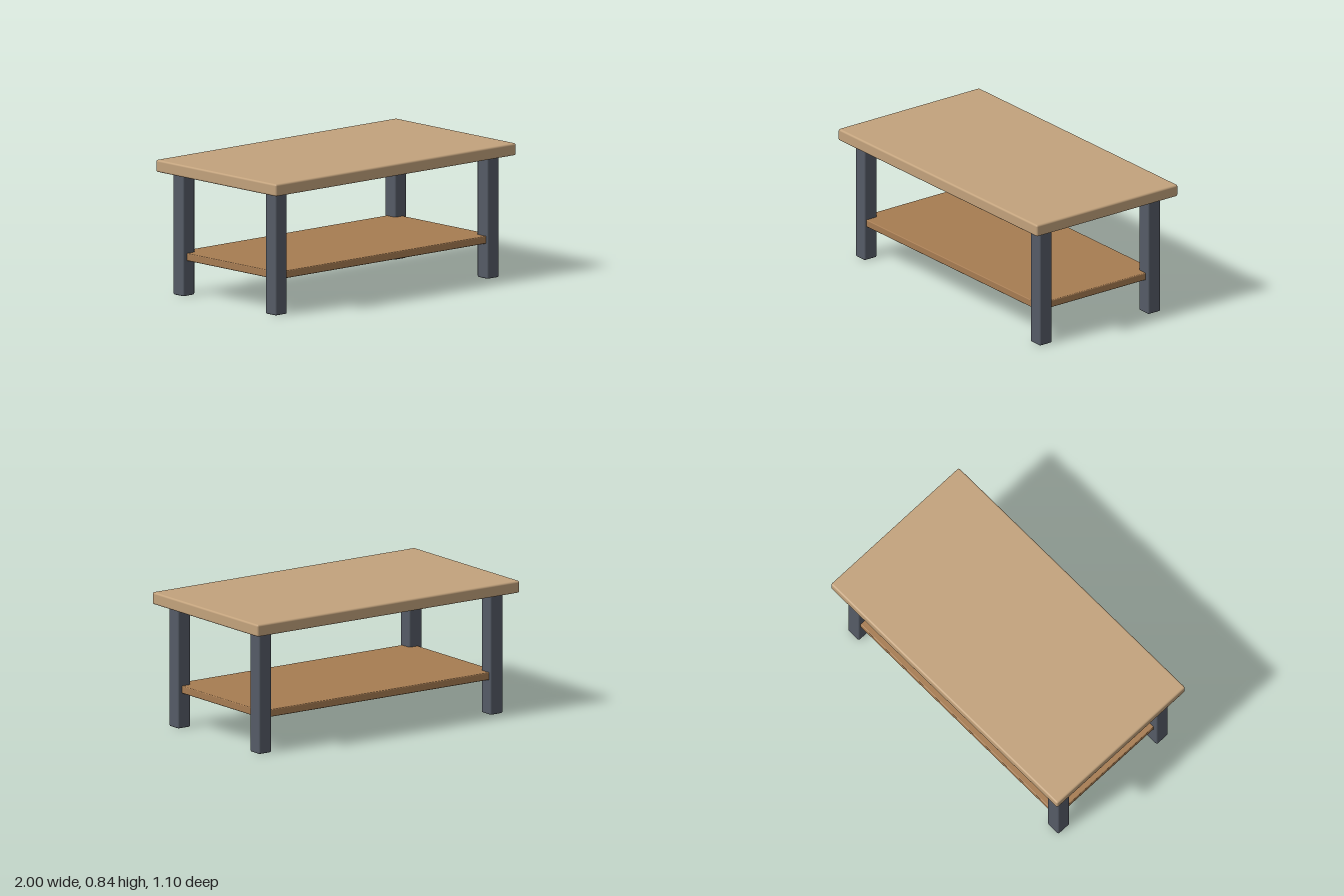
import * as THREE from 'three';
import { RoundedBoxGeometry } from 'three/addons/geometries/RoundedBoxGeometry.js';

const lightWood = new THREE.MeshStandardMaterial({ color: 0xc2a27c });
const darkWood = new THREE.MeshStandardMaterial({ color: 0xa67c52 });
const slate = new THREE.MeshStandardMaterial({ color: 0x555b66 });

// Softly rounded block standing on height y
function block(name, material, [w, h, d], radius, x, y, z) {
  const mesh = new THREE.Mesh(new RoundedBoxGeometry(w, h, d, 3, radius), material);
  mesh.name = name;
  mesh.position.set(x, y + h / 2, z);
  return mesh;
}

export function createModel() {
  const table = new THREE.Group();
  table.name = 'coffeeTable';

  // Thick top and thinner lower shelf, whose corners run into the legs
  table.add(block('tableTop', lightWood, [2, 0.076, 1.096], 0.012, 0, 0.765, 0));
  table.add(block('lowerShelf', darkWood, [1.8, 0.047, 0.91], 0.006, 0, 0.22, 0));

  // Four square legs
  for (const [side, sx] of [['Left', 1], ['Right', -1]]) {
    for (const [end, sz] of [['front', 1], ['back', -1]]) {
      table.add(block(`${end}${side}Leg`, slate, [0.096, 0.765, 0.096], 0.01, sx * 0.881, 0, sz * 0.421));
    }
  }
  return table;
}
